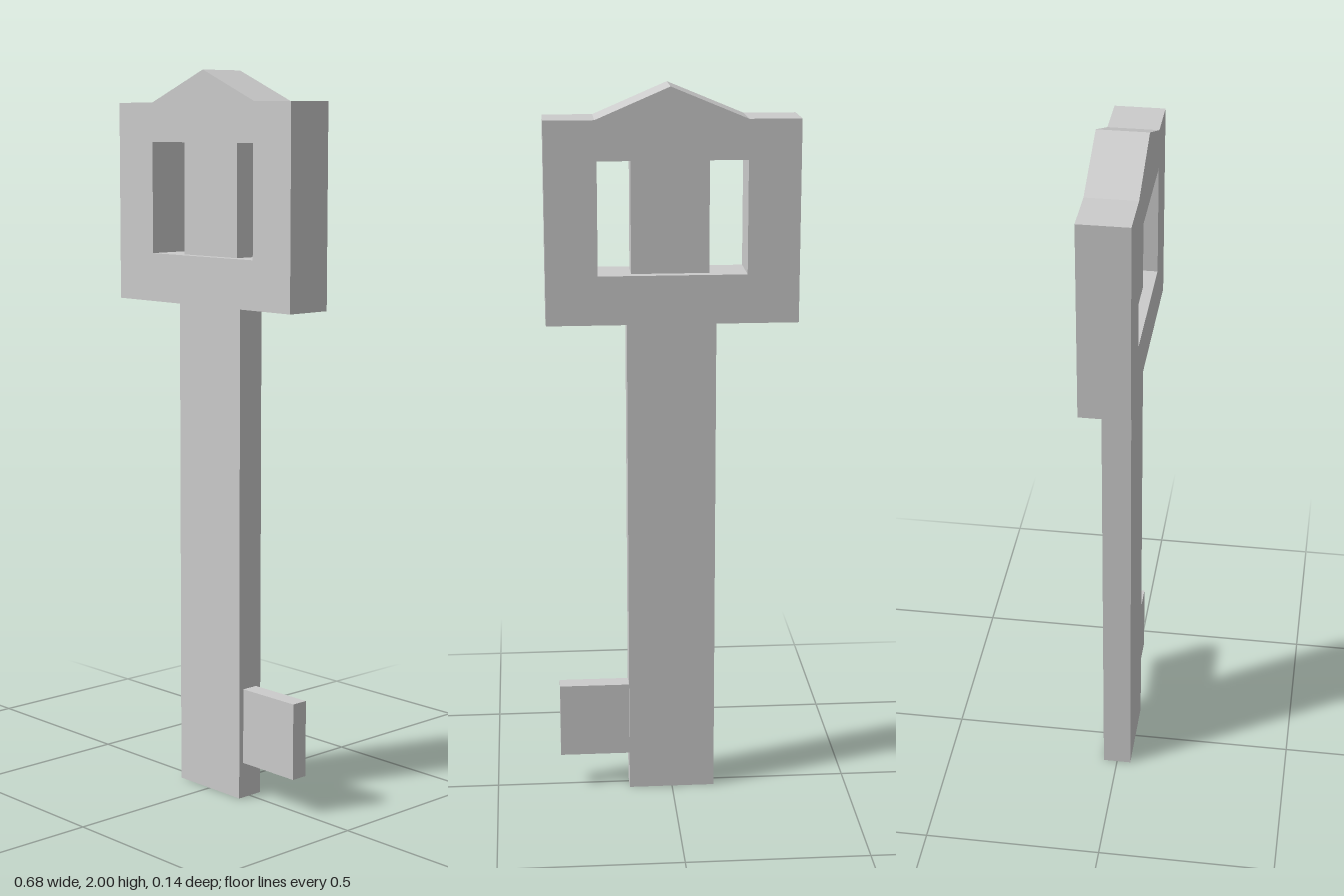
import * as THREE from 'three';

const material = new THREE.MeshStandardMaterial({ color: 0xcccccc, flatShading: true });

// Box given by its extents on each axis
function block(name, [x0, x1], [y0, y1], [z0, z1]) {
  const mesh = new THREE.Mesh(new THREE.BoxGeometry(x1 - x0, y1 - y0, z1 - z0), material);
  mesh.position.set((x0 + x1) / 2, (y0 + y1) / 2, (z0 + z1) / 2);
  mesh.name = name;
  return mesh;
}

const points = (list) => list.map(([x, y]) => new THREE.Vector2(x, y));

export function createModel() {
  const key = new THREE.Group();
  key.name = 'key';

  // Bow: square frame with a gabled top and a rectangular window
  const outline = new THREE.Shape(points([
    [-0.34, 1.37], [0.34, 1.37], [0.34, 1.915], [0.205, 1.915],
    [0.006, 2], [-0.2, 1.915], [-0.34, 1.915],
  ]));
  outline.holes.push(new THREE.Path(points([
    [-0.2, 1.503], [-0.2, 1.808], [0.2, 1.808], [0.2, 1.503],
  ])));
  const depth = 0.136;
  const bowGeometry = new THREE.ExtrudeGeometry(outline, { depth, bevelEnabled: false });
  bowGeometry.translate(0, 0, -depth / 2);
  const bow = new THREE.Mesh(bowGeometry, material);
  bow.name = 'bow';
  key.add(bow);

  // Upright post inside the window, shaft and bit
  key.add(
    block('windowPost', [-0.1, 0.11], [1.503, 1.808], [-0.04, 0.04]),
    block('shaft', [-0.12, 0.122], [0, 1.37], [-0.04, 0.04]),
    block('bit', [0.122, 0.318], [0.1, 0.312], [-0.023, 0.025]),
  );
  return key;
}
